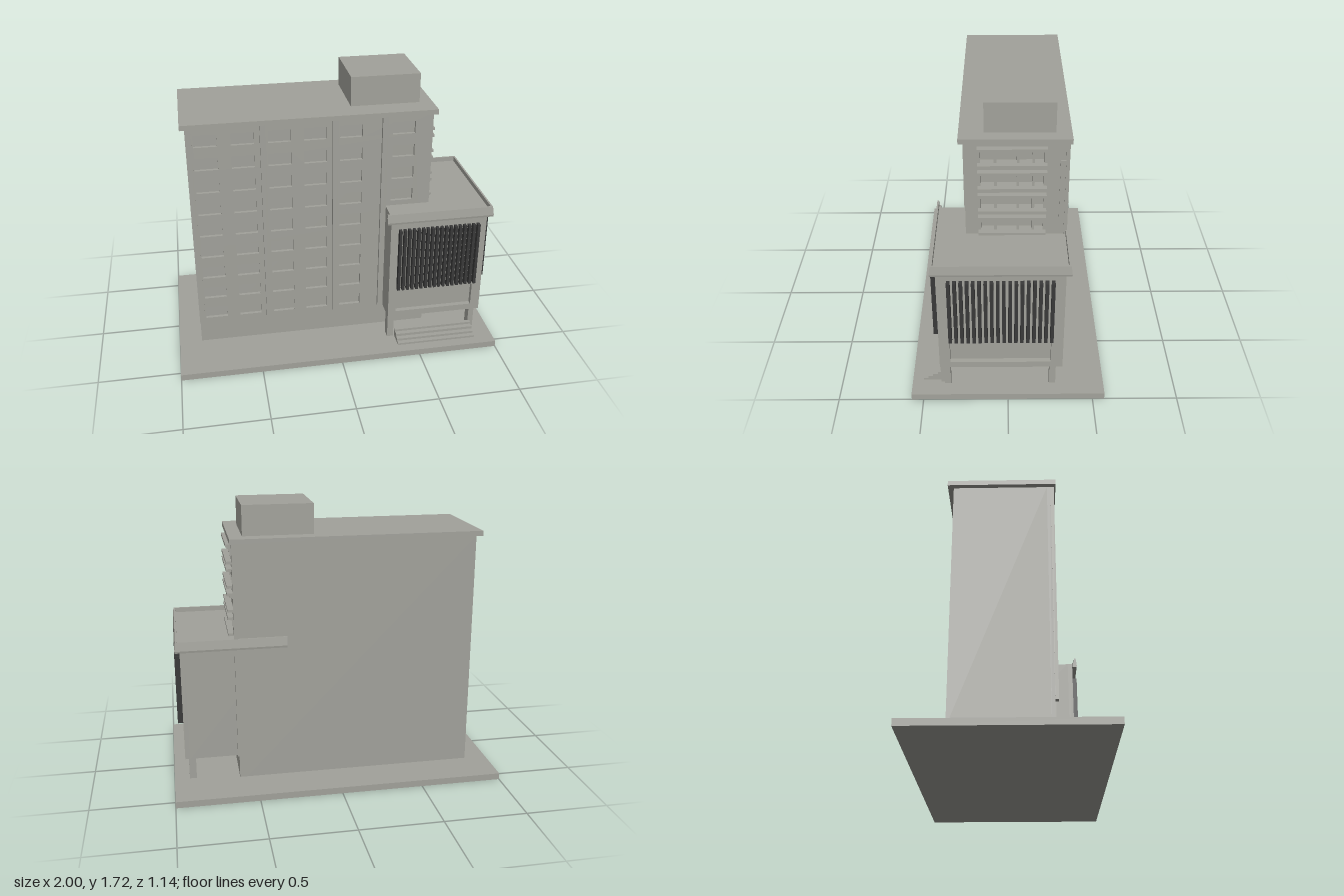
import * as THREE from 'three';

export function createModel() {
  const model = new THREE.Group();
  const concrete = new THREE.MeshStandardMaterial({ color: 0xa2a29b });
  const louver = new THREE.MeshStandardMaterial({ color: 0x393939 });

  const add = (name, geometry, material = concrete, parent = model) => {
    const mesh = new THREE.Mesh(geometry, material);
    mesh.name = name;
    parent.add(mesh);
    return mesh;
  };
  // Box given by its limits on each axis
  const box = (name, x0, x1, y0, y1, z0, z1, material, parent) => {
    const mesh = add(name, new THREE.BoxGeometry(x1 - x0, y1 - y0, z1 - z0), material, parent);
    mesh.position.set((x0 + x1) / 2, (y0 + y1) / 2, (z0 + z1) / 2);
    return mesh;
  };
  const rect = (path, u0, u1, v0, v1) =>
    path.moveTo(u0, v0).lineTo(u1, v0).lineTo(u1, v1).lineTo(u0, v1).closePath();
  // Wall plate with rectangular openings, facing +z, or +x when side is true (u = -z)
  const wall = (name, outline, holes, start, depth, side = false) => {
    const shape = rect(new THREE.Shape(), ...outline);
    for (const h of holes) shape.holes.push(rect(new THREE.Path(), ...h));
    const mesh = add(name, new THREE.ExtrudeGeometry(shape, { depth, bevelEnabled: false }));
    if (side) {
      mesh.rotation.y = Math.PI / 2;
      mesh.position.x = start;
    } else mesh.position.z = start;
  };

  // Ground slab, tower core, roof and rooftop room
  box('groundSlab', -1, 1, 0, 0.04, -0.57, 0.57);
  box('towerCore', -0.86, 0.56, 0.04, 1.51, -0.32, 0.22);
  box('towerRoof', -0.89, 0.62, 1.51, 1.54, -0.353, 0.27);
  box('rooftopRoom', 0.12, 0.54, 1.54, 1.72, -0.265, 0.13);

  // Front facade with recessed windows
  const pitch = 0.147;
  const windows = [];
  [-0.82, -0.605, -0.39, -0.178, 0.036, 0.356].forEach((x, column) => {
    for (let row = column === 5 ? 5 : 0; row < 9; row++) {
      const y = 0.212 + row * pitch;
      windows.push([x, x + 0.136, y, y + 0.077]);
    }
  });
  wall('frontFacade', [-0.86, 0.6, 0.04, 1.51], windows, 0.22, 0.02);
  for (const x of [-0.862, -0.437, -0.01, 0.288]) {
    box('frontPilaster', x, x + 0.034, 0.19, 1.51, 0.24, 0.26);
  }
  box('backPilaster', 0.58, 0.61, 0.19, 1.51, -0.34, -0.32);

  // Right side of the tower: openings divided by posts, framed by ledges
  const openings = [];
  for (let floor = 0; floor < 4; floor++) {
    const y = 0.943 + floor * pitch;
    const stops = [-0.152, -0.077, -0.06, 0.05, 0.064, 0.136, 0.15, 0.2];
    for (let i = 0; i < stops.length; i += 2) {
      openings.push([stops[i], stops[i + 1], y, y + 0.085]);
    }
    box('lowerLedge', 0.6, 0.635, y - 0.016, y, -0.217, 0.167);
    box('upperLedge', 0.6, 0.635, y + 0.085, y + 0.102, -0.217, 0.167);
  }
  wall('sideFacade', [-0.22, 0.32, 0.04, 1.51], openings, 0.56, 0.04, true);
  box('narrowSidePanel', 0.6, 0.606, 0.97, 1.4, -0.32, -0.29);

  // Raised annex with a recessed panel on its front and right faces
  box('annexCore', 0.325, 0.9, 0.19, 0.915, -0.32, 0.37);
  wall('annexFront', [0.325, 0.93, 0.19, 0.915], [[0.375, 0.872, 0.23, 0.38]], 0.37, 0.03);
  wall('annexSide', [-0.37, 0.32, 0.19, 0.915], [[-0.337, 0.25, 0.23, 0.38]], 0.9, 0.03, true);

  // Vertical louvers on both annex faces
  const fins = new THREE.Group();
  fins.name = 'louvers';
  model.add(fins);
  const count = 18;
  for (let i = 0; i < count; i++) {
    const x = 0.373 + (i * 0.493) / (count - 1);
    box('frontFin', x, x + 0.017, 0.405, 0.83, 0.4, 0.43, louver, fins);
    const z = -0.26 + (i * 0.58) / (count - 1);
    box('sideFin', 0.93, 0.962, 0.405, 0.83, z, z + 0.02, louver, fins);
  }

  // Parapet: one cross-section (outward offset, height) swept round three sides
  const section = [[0, 0.88], [0.028, 0.88], [0.03, 0.892], [0.023, 0.945],
    [0.012, 0.945], [0.012, 0.915], [0, 0.915]];
  const station = (d, y) => [
    [0.295, y, 0.4 + d], [0.93 + d, y, 0.4 + d], [0.93 + d, y, -0.32 - d], [0.295, y, -0.32 - d]];
  const points = [];
  const quad = (a, b, c, d) => points.push(...a, ...b, ...c, ...a, ...c, ...d);
  section.forEach((p, i) => {
    const lower = station(...p);
    const upper = station(...section[(i + 1) % section.length]);
    for (let k = 0; k < 3; k++) quad(lower[k], lower[k + 1], upper[k + 1], upper[k]);
  });
  // Parapet ends
  const caps = THREE.ShapeUtils.triangulateShape(section.map((p) => new THREE.Vector2(...p)), []);
  for (const [a, b, c] of caps) {
    for (const i of [a, c, b]) points.push(...station(...section[i])[3]);
    for (const i of [a, b, c]) points.push(...station(...section[i])[0]);
  }
  const parapet = new THREE.BufferGeometry();
  parapet.setAttribute('position', new THREE.Float32BufferAttribute(points, 3));
  parapet.computeVertexNormals();
  const parapetMaterial = concrete;
  parapetMaterial.side = THREE.DoubleSide;
  add('annexParapet', parapet, parapetMaterial);

  // Columns under the annex
  box('frontLeftColumn', 0.325, 0.365, 0.04, 0.19, 0.34, 0.4);
  box('frontRightColumn', 0.865, 0.895, 0.04, 0.19, 0.34, 0.4);
  box('frontRightColumnSide', 0.895, 0.908, 0.04, 0.19, 0.34, 0.378);
  box('backRightColumn', 0.865, 0.908, 0.04, 0.19, -0.283, -0.245);

  // Entrance steps
  [[0.1, 0.42], [0.085, 0.449], [0.068, 0.477], [0.053, 0.505]].forEach(([y, z], i) => {
    box('entranceStep', 0.373, 0.878, 0.04, y, i ? 0.42 + (i - 1) * 0.0285 : 0.398, z);
  });

  return model;
}
